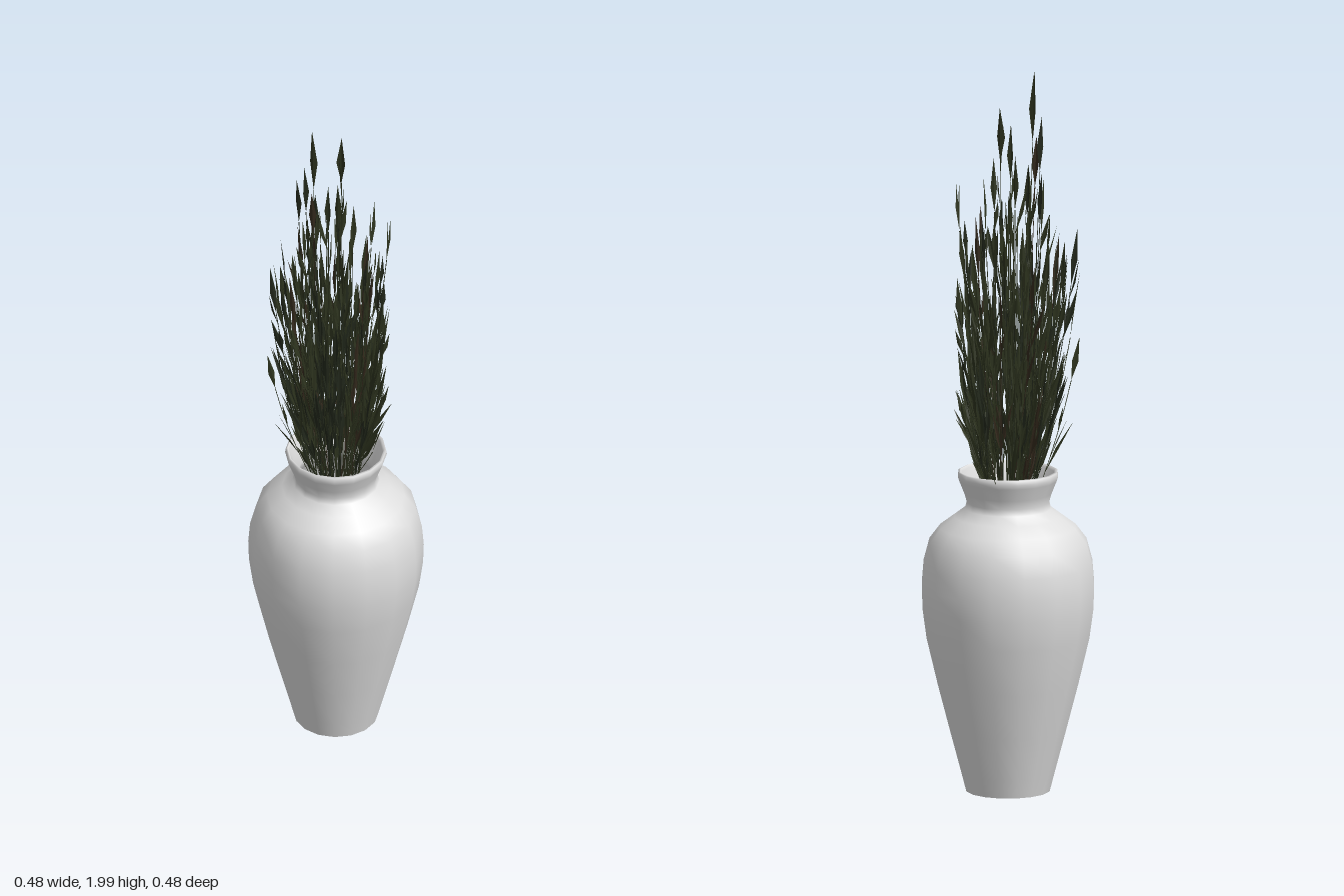
import * as THREE from 'three';
import { mergeGeometries } from 'three/addons/utils/BufferGeometryUtils.js';

const mat = (name, color, side = THREE.FrontSide) =>
  new THREE.MeshStandardMaterial({ name, color, side });

// small seeded generator
let seed = 7;
const rnd = (a = 0, b = 1) => {
  seed = (seed * 16807) % 2147483647;
  return a + (b - a) * (seed / 2147483647);
};

// slim folded diamond leaf from base along dir
function leaf(base, dir, length, width) {
  const d = dir.clone().normalize();
  const turn = rnd(0, Math.PI * 2);
  const side = new THREE.Vector3(Math.cos(turn), 0, Math.sin(turn)).cross(d).normalize();
  const fold = side.clone().cross(d).multiplyScalar(width * 0.2);
  const mid = base.clone().addScaledVector(d, length * 0.45).add(fold);
  const l = mid.clone().addScaledVector(side, -width / 2);
  const r = mid.clone().addScaledVector(side, width / 2);
  const tip = base.clone().addScaledVector(d, length);
  const g = new THREE.BufferGeometry().setFromPoints([base, r, tip, base, tip, l]);
  g.computeVertexNormals();
  return g;
}

// thin three-sided stem along a curve
function stem(curve) {
  const g = new THREE.TubeGeometry(curve, 5, 0.0012, 3).toNonIndexed();
  g.deleteAttribute('uv');
  return g;
}

// open-bottomed vase: outer wall, lip, and a thin inner wall back to the foot
function createVase() {
  const profile = [
    [0.115, 0], [0.128, 0.05], [0.16, 0.17], [0.194, 0.3], [0.225, 0.43], [0.236, 0.51],
    [0.238, 0.57], [0.233, 0.63], [0.217, 0.69], [0.187, 0.73], [0.147, 0.76],
    [0.118, 0.782], [0.113, 0.80], [0.12, 0.825], [0.134, 0.86], [0.138, 0.872], [0.136, 0.884],
    [0.131, 0.886], [0.127, 0.878], [0.115, 0.845], [0.104, 0.805], [0.108, 0.778],
    [0.14, 0.752], [0.18, 0.722], [0.208, 0.685], [0.225, 0.628], [0.23, 0.57], [0.228, 0.51],
    [0.217, 0.43], [0.187, 0.3], [0.154, 0.17], [0.123, 0.05], [0.113, 0],
  ];
  const wall = new THREE.Mesh(
    new THREE.LatheGeometry(profile.map(p => new THREE.Vector2(...p)), 16),
    mat('white ceramic', 0xdedede));
  wall.name = 'vase';
  return wall;
}

function createGrass() {
  const kinds = [
    { mat: mat('dark green', 0x2d331e, THREE.DoubleSide), parts: [] },
    { mat: mat('deep green', 0x22281b, THREE.DoubleSide), parts: [] },
    { mat: mat('dry brown', 0x33291c, THREE.DoubleSide), parts: [] },
  ];

  // one stalk: bowed stem with upright leaves and a pointed head
  function stalk(x, y, z, leaves, headLength, headWidth) {
    const pick = rnd();
    const parts = kinds[pick < 0.65 ? 0 : pick < 0.92 ? 1 : 2].parts;
    const a = Math.atan2(z, x) + rnd(-0.6, 0.6);
    const r0 = rnd(0.01, 0.06);
    const tip = new THREE.Vector3(x, y, z);
    const root = new THREE.Vector3(Math.cos(a) * r0, 0.76, Math.sin(a) * r0);
    const bend = new THREE.Vector3(x * 0.8, 0.76 + (y - 0.76) * 0.5, z * 0.8);
    const curve = new THREE.QuadraticBezierCurve3(root, bend, tip);
    const top = Math.max(0.3, 1 - headLength / (y - 0.76));
    const neck = curve.getPoint(top);
    parts.push(stem(new THREE.QuadraticBezierCurve3(root, root.clone().lerp(bend, top), neck)));
    parts.push(leaf(neck, tip.clone().sub(neck), headLength, headWidth));
    for (let i = 0; i < leaves; i++) {
      const t = rnd(0.2, top);
      const base = curve.getPoint(t);
      const splay = new THREE.Vector3(rnd(-0.2, 0.2), 0, rnd(-0.2, 0.2));
      const length = Math.min(rnd(0.07, 0.17), (y - base.y) * 0.95);
      parts.push(leaf(base, curve.getTangent(t).add(splay), length, rnd(0.007, 0.017)));
    }
  }

  // tall and outlying stalks that shape the outline
  [
    [-0.01, 1.99, 0.08, 0.2, 0.024], [-0.02, 1.9, -0.04, 0.15, 0.026], [0.06, 1.83, 0.05, 0.16, 0.02],
    [-0.03, 1.86, 0.09, 0.15, 0.02], [0.01, 1.8, 0.1, 0.14, 0.02], [-0.135, 1.73, 0.02, 0.14, 0.02],
    [-0.02, 1.76, 0.01, 0.15, 0.02], [0.07, 1.74, 0.0, 0.15, 0.018], [-0.04, 1.74, 0.04, 0.15, 0.018],
    [0.165, 1.67, 0.03, 0.16, 0.014], [0.12, 1.68, -0.09, 0.14, 0.012], [-0.05, 1.6, -0.19, 0.15, 0.016],
    [-0.02, 1.45, -0.18, 0.15, 0.018], [-0.205, 1.5, -0.05, 0.16, 0.016], [0.17, 1.47, 0.16, 0.16, 0.018],
    [0.14, 1.38, 0.17, 0.15, 0.018], [-0.07, 1.55, 0.18, 0.16, 0.018], [-0.08, 1.25, 0.18, 0.12, 0.018],
    [-0.17, 1.4, 0.03, 0.15, 0.016], [0.03, 1.5, 0.18, 0.15, 0.016],
  ].forEach(([x, y, z, length, width]) => stalk(x, y, z, 3, length, width));

  // bare arching blades at the edges
  [
    [-0.175, 1.18, -0.225, 0.18, 0.014], [0, 1.41, 0.235, 0.18, 0.014], [0.155, 1.05, -0.04, 0.13, 0.012],
    [-0.175, 1.06, 0.04, 0.15, 0.012], [0.04, 1.04, 0.17, 0.14, 0.012], [-0.05, 1.08, -0.16, 0.14, 0.012],
  ].forEach(([x, y, z, length, width]) => stalk(x, y, z, 0, length, width));

  // dense body of the bunch
  for (let i = 0; i < 115; i++) {
    const angle = i * 2.39996;
    const r = 0.02 + 0.15 * Math.sqrt(rnd());
    const y = rnd(1.1, 1.62) + (r < 0.11 ? rnd(0, 0.1) : 0);
    stalk(r * Math.cos(angle) - 0.005, y, r * Math.sin(angle) + 0.008, 6, rnd(0.09, 0.18), rnd(0.01, 0.018));
  }

  const group = new THREE.Group();
  group.name = 'grass';
  for (const { mat: m, parts } of kinds) {
    const mesh = new THREE.Mesh(mergeGeometries(parts), m);
    mesh.name = m.name + ' stalks';
    group.add(mesh);
  }
  return group;
}

export function createModel() {
  seed = 7;
  const model = new THREE.Group();
  model.name = 'vaseWithGrass';
  model.add(createVase(), createGrass());
  return model;
}
